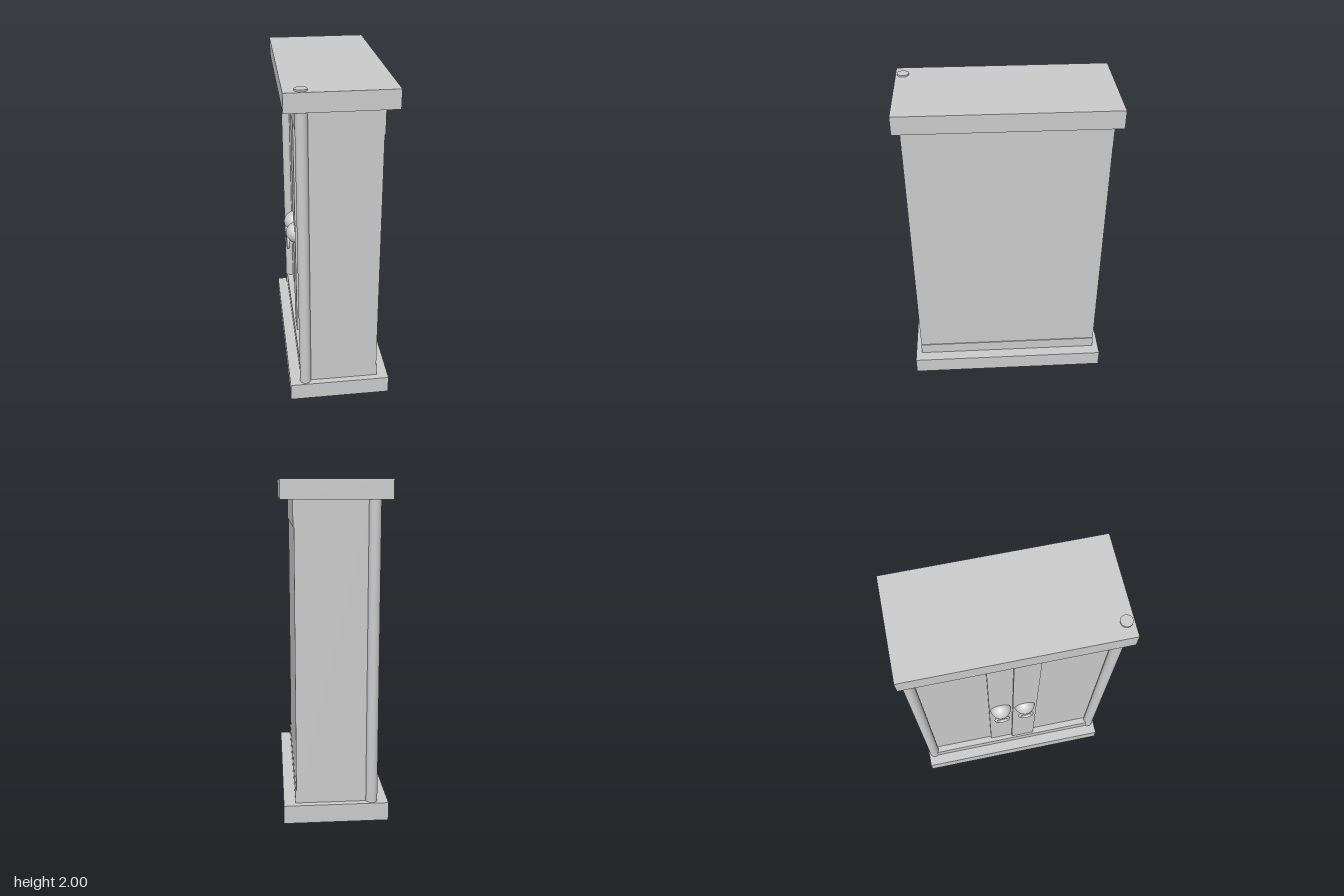
import * as THREE from 'three';

const material = new THREE.MeshStandardMaterial({ color: 0xcccccc });

export function createModel() {
  const cabinet = new THREE.Group();
  cabinet.name = 'cabinet';

  function add(name, geometry, x = 0, y = 0, z = 0) {
    const mesh = new THREE.Mesh(geometry, material);
    mesh.name = name;
    mesh.position.set(x, y, z);
    cabinet.add(mesh);
    return mesh;
  }

  // Box given by its lower and upper limits on each axis
  function box(name, [x0, x1], [y0, y1], [z0, z1]) {
    return add(name, new THREE.BoxGeometry(x1 - x0, y1 - y0, z1 - z0),
      (x0 + x1) / 2, (y0 + y1) / 2, (z0 + z1) / 2);
  }

  const bottom = 0.11, top = 1.88;
  const lowRail = 0.185, highRail = 1.73;
  const side = 0.597, back = 0.235;
  const door = -0.197;

  // Plinth and top slab
  box('plinth', [-0.31, 0.31], [0, bottom], [-0.636, 0.636]);
  box('topSlab', [-0.31, 0.31], [top, 1.99], [-0.636, 0.636]);

  // Carcass, its front forming the recessed door panels
  box('carcass', [door, back], [bottom, top], [-side, side]);

  // Rails across the door side and the back
  for (const [name, y] of [['lowerRail', [bottom, lowRail]], ['upperRail', [highRail, top]]]) {
    box(name + 'Door', [-0.24, door], y, [-0.592, 0.592]);
    box(name + 'Back', [back - 0.01, 0.24], y, [-side, side]);
  }

  // Door stiles, one overlapping forward of the other
  box('doorStile', [-0.212, door], [lowRail, highRail], [-0.155, 0]);
  box('overlapStile', [-0.227, door], [lowRail, highRail], [0, 0.16]);

  for (const s of [-1, 1]) {
    // Round corner posts; one rises through the top slab as a peg
    const postTop = s > 0 ? 2 : top;
    add('cornerPost', new THREE.CylinderGeometry(0.035, 0.035, postTop - bottom, 32),
      -0.213, (postTop + bottom) / 2, s * 0.592);

    // Domed handle with a hanging ring
    const dome = add('handleDome',
      new THREE.SphereGeometry(0.068, 32, 16, 0, Math.PI * 2, 0, Math.PI / 2), -0.212, 0.893, s * 0.08);
    dome.rotation.z = Math.PI / 2;
    const ring = add('handleRing', new THREE.TorusGeometry(0.041, 0.01, 12, 36), -0.268, 0.831, s * 0.08);
    ring.rotation.y = Math.PI / 2;
  }

  return cabinet;
}
